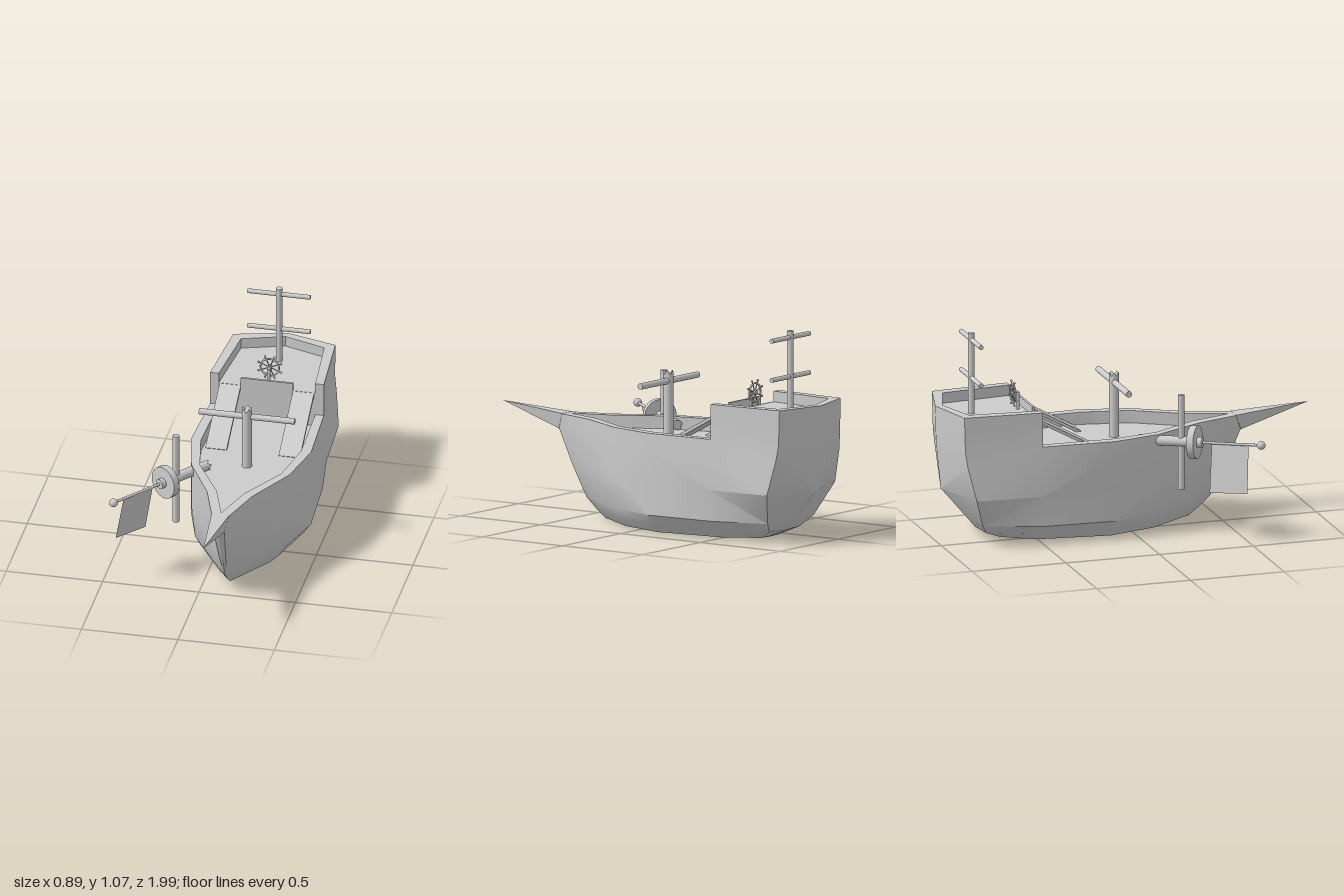
import * as THREE from 'three';
import { toCreasedNormals } from 'three/addons/utils/BufferGeometryUtils.js';
import { ConvexGeometry } from 'three/addons/geometries/ConvexGeometry.js';

const grey = new THREE.MeshStandardMaterial({ color: 0xcccccc });
const thin = new THREE.MeshStandardMaterial({ color: 0xcccccc, side: THREE.DoubleSide });
const V = (x, y, z) => new THREE.Vector3(x, y, z);

function add(parent, name, geometry, material = grey) {
  const mesh = new THREE.Mesh(geometry, material);
  mesh.name = name;
  parent.add(mesh);
  return mesh;
}

// Round bar between two points; a broken bar gets a splintered far end
function bar(parent, name, a, b, r, broken = false) {
  const length = a.distanceTo(b);
  const geo = new THREE.CylinderGeometry(r, r, length, 20);
  if (broken) {
    const p = geo.attributes.position;
    for (let i = 0; i < p.count; i++) {
      if (p.getY(i) < length / 2 - 1e-4) continue;
      const centre = Math.hypot(p.getX(i), p.getZ(i)) < 1e-4;
      const drop = centre ? 0.03 : 0.011 + 0.011 * Math.sin(5 * Math.atan2(p.getZ(i), p.getX(i)));
      p.setY(i, p.getY(i) - drop);
    }
  }
  const mesh = add(parent, name, geo);
  mesh.position.copy(a).lerp(b, 0.5);
  mesh.quaternion.setFromUnitVectors(V(0, 1, 0), b.clone().sub(a).normalize());
  return mesh;
}

// Hull heights, from below the rail line down to the keel
const LEVELS = [0.44, 0.263, 0.1, 0.045, 0.003];
const RAIL = 0.52, HIGH_RAIL = 0.7, DECK = 0.455, HIGH_DECK = 0.645;

// One half section: keel, side, rail, inner wall, deck centre
function section({ top, inner, w, z, high }) {
  const zs = Array.isArray(z) ? z : LEVELS.map(() => z);
  const pts = [V(0, 0, zs[4])];
  for (let i = 4; i >= 0; i--) pts.push(V(w[i], LEVELS[i], zs[i]));
  const rail = high ? HIGH_RAIL : RAIL, deck = high ? HIGH_DECK : DECK;
  pts.push(V(top[0], RAIL, top[1]), V(top[0], rail, top[1] - (high && top[1] < -0.9 ? 0.005 : 0)));
  pts.push(V(inner[0], rail, inner[1]), V(inner[0], deck, inner[1]), V(0, deck, inner[1]));
  return pts;
}

// Hull, rails and both decks as one mirrored loft from stern to bow
function hullGeometry() {
  const step = { top: [0.295, -0.51], inner: [0.25, -0.51], w: [0.3, 0.31, 0.29, 0.235, 0.18], z: -0.51 };
  const rows = [
    { top: [0, -0.985], inner: [0, -0.95], w: [0, 0, 0, 0, 0], z: [-0.978, -0.96, -0.823, -0.777, -0.67], high: true },
    { top: [0.265, -0.915], inner: [0.216, -0.88], w: [0.275, 0.295, 0.2, 0.13, 0.08], z: [-0.905, -0.863, -0.8, -0.76, -0.67], high: true },
    { ...step, high: true },
    step,
    { top: [0.312, -0.13], inner: [0.26, -0.13], w: [0.312, 0.312, 0.312, 0.272, 0.23], z: -0.13 },
    { top: [0.255, 0.12], inner: [0.21, 0.12], w: [0.255, 0.253, 0.235, 0.2, 0.16], z: 0.12 },
    { top: [0.116, 0.38], inner: [0.07, 0.36], w: [0.116, 0.113, 0.09, 0.065, 0.04], z: [0.38, 0.37, 0.345, 0.33, 0.3] },
    { top: [0.045, 0.6], inner: [0, 0.575], w: [0.028, 0.018, 0.006, 0.002, 0], z: [0.63, 0.555, 0.475, 0.415, 0.36] },
    { top: [0, 0.62], inner: [0, 0.575], w: [0, 0, 0, 0, 0], z: [0.64, 0.56, 0.478, 0.418, 0.36] },
  ].map(section);
  const out = [];
  const tri = (a, b, c) => {
    if (b.clone().sub(a).cross(c.clone().sub(a)).length() < 1e-7) return;
    for (const p of [a, b, c]) out.push(p.x, p.y, p.z);
    for (const p of [a, c, b]) out.push(-p.x, p.y, p.z);
  };
  for (let i = 0; i < rows.length - 1; i++) {
    for (let j = 0; j < rows[i].length - 1; j++) {
      const a = rows[i][j], b = rows[i + 1][j], c = rows[i + 1][j + 1], d = rows[i][j + 1];
      tri(a, d, c);
      tri(a, c, b);
    }
  }
  const geo = new THREE.BufferGeometry();
  geo.setAttribute('position', new THREE.Float32BufferAttribute(out, 3));
  return toCreasedNormals(geo, 0.55);
}

function steeringWheel() {
  const wheel = new THREE.Group();
  wheel.name = 'steeringWheel';
  add(wheel, 'wheelRim', new THREE.TorusGeometry(0.048, 0.005, 8, 24));
  add(wheel, 'wheelHub', new THREE.CylinderGeometry(0.012, 0.012, 0.02, 12).rotateX(Math.PI / 2));
  for (let i = 0; i < 8; i++) {
    const a = (i + 0.5) * Math.PI / 4, dir = V(Math.cos(a), Math.sin(a), 0);
    bar(wheel, 'wheelSpoke', V(0, 0, 0), dir.clone().multiplyScalar(0.062), 0.003);
    add(wheel, 'wheelHandle', new THREE.SphereGeometry(0.006, 8, 6)).position.copy(dir.multiplyScalar(0.064));
  }
  wheel.position.set(0, 0.73, -0.575);
  return wheel;
}

// Broken mast top lying over the rail, with lookout disc, yard and flag
function fallenMast() {
  const g = new THREE.Group();
  g.name = 'fallenMast';
  const butt = V(-0.05, 0.482, 0.04), tip = V(-0.429, 0.505, 0.565);
  const at = t => butt.clone().lerp(tip, t);
  bar(g, 'fallenPole', at(0.52), butt, 0.026, true);
  bar(g, 'flagPole', at(0.5), tip, 0.007);
  bar(g, 'lookoutDisc', at(0.425), at(0.48), 0.085);
  add(g, 'poleBall', new THREE.SphereGeometry(0.022, 16, 12)).position.copy(tip);
  bar(g, 'fallenYard', V(-0.18, 0.237, 0.22), V(-0.18, 0.735, 0.22), 0.017);
  const flag = new THREE.BufferGeometry().setFromPoints([
    V(-0.273, 0.492, 0.353), V(-0.389, 0.5, 0.511), V(-0.434, 0.257, 0.49), V(-0.316, 0.246, 0.327)]);
  flag.setIndex([0, 1, 2, 0, 2, 3]);
  flag.computeVertexNormals();
  add(g, 'flag', flag, thin);
  return g;
}

export function createModel() {
  const model = new THREE.Group();
  model.name = 'sailingShip';
  const ship = new THREE.Group();
  ship.name = 'ship';
  ship.position.x = 0.132;
  model.add(ship, fallenMast());

  add(ship, 'hull', hullGeometry());
  add(ship, 'bowSpike', new ConvexGeometry([
    V(-0.045, 0.521, 0.6), V(0.045, 0.521, 0.6), V(-0.028, 0.44, 0.632), V(0.028, 0.44, 0.632),
    V(0, 0.44, 0.642), V(0, 0.548, 1)]));

  // Ramps up to the quarterdeck and the board between them
  for (const side of [-1, 1]) {
    const ramp = add(ship, 'ramp', new THREE.BoxGeometry(0.11, 0.016, 0.388));
    ramp.position.set(side * 0.19, 0.545, -0.34);
    ramp.rotation.x = Math.atan2(0.188, 0.34);
  }
  add(ship, 'deckBoard', new THREE.BoxGeometry(0.27, 0.075, 0.012)).position.set(0, 0.652, -0.51);

  // Masts and yards
  bar(ship, 'mainMast', V(0, DECK, -0.035), V(0, 0.797, -0.035), 0.025, true);
  bar(ship, 'mainYard', V(-0.248, 0.742, -0.037), V(0.248, 0.742, -0.037), 0.016);
  bar(ship, 'rearMast', V(0, HIGH_DECK, -0.797), V(0, 1.067, -0.797), 0.017);
  for (const y of [0.832, 1.033]) bar(ship, 'rearYard', V(-0.163, y, -0.797), V(0.163, y, -0.797), 0.012);

  // Helm
  ship.add(steeringWheel());
  bar(ship, 'helmPost', V(0, HIGH_DECK, -0.55), V(0, 0.735, -0.55), 0.009);
  bar(ship, 'helmAxle', V(0, 0.73, -0.58), V(0, 0.73, -0.545), 0.006);
  return model;
}
